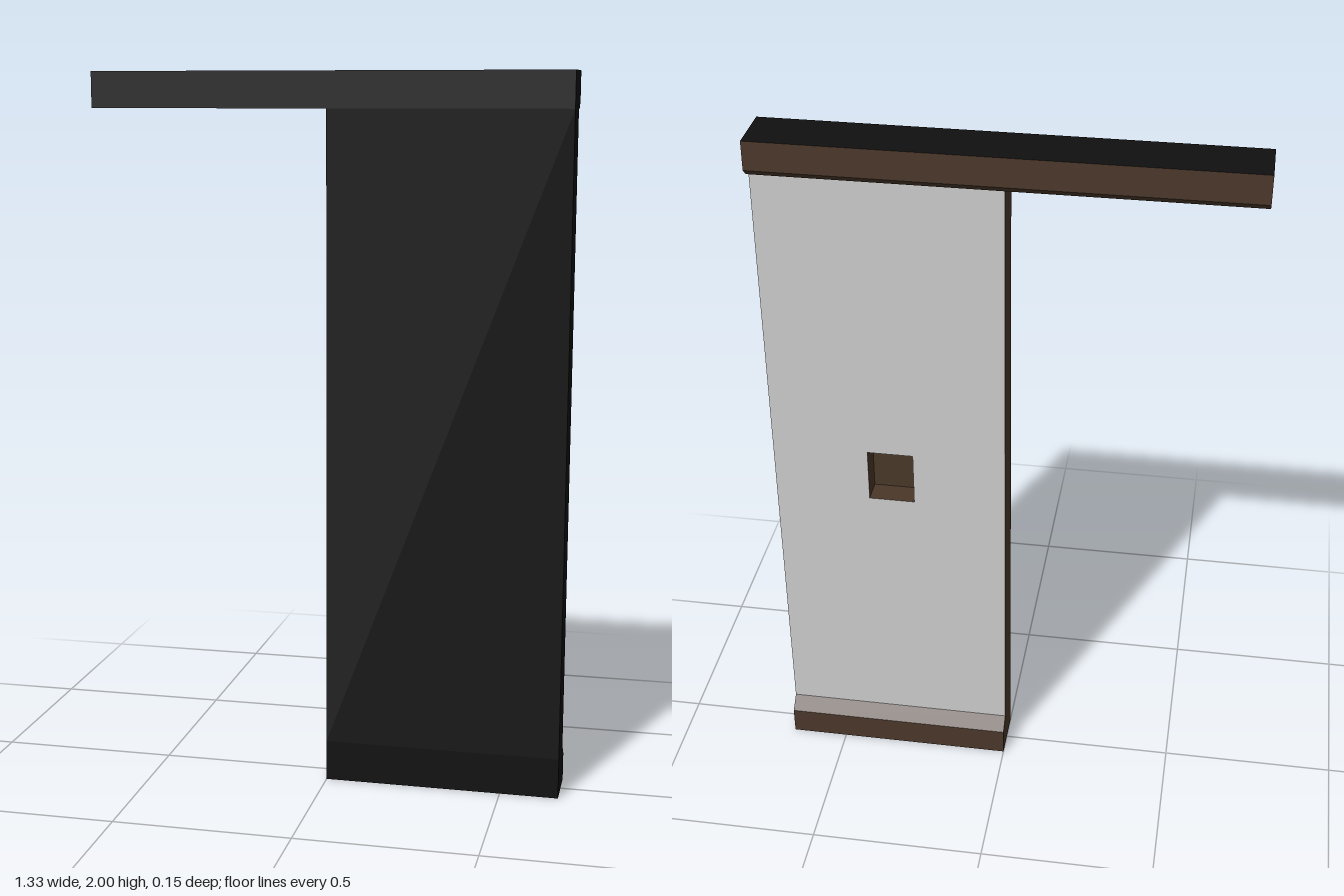
import * as THREE from 'three';

const COLORS = { black: 0x101010, brown: 0x4a3729, grey: 0xcccccc };
const MATERIALS = Object.fromEntries(Object.entries(COLORS).map(([key, color]) =>
  [key, new THREE.MeshStandardMaterial({ color, flatShading: true })]));

const HALF = 0.664, FRONT = 0.077, BACK = -0.032;
const RAIL_Y = 1.9, FOOT_Y = 0.115, RECESS = 0.07;

// Splits a solid into one mesh per finish; rule(normal, centre) names the finish, or null to drop a hidden face
function paint(name, geometry, rule) {
  const source = geometry.index ? geometry.toNonIndexed() : geometry;
  const pos = source.attributes.position;
  const buckets = {};
  const tri = new THREE.Triangle(), n = new THREE.Vector3(), c = new THREE.Vector3();
  for (let i = 0; i < pos.count; i += 3) {
    tri.setFromAttributeAndIndices(pos, i, i + 1, i + 2);
    tri.getNormal(n);
    tri.getMidpoint(c);
    const finish = rule(n, c);
    if (!finish) continue;
    (buckets[finish] ??= []).push(...tri.a.toArray(), ...tri.b.toArray(), ...tri.c.toArray());
  }
  const part = new THREE.Group();
  part.name = name;
  for (const [finish, points] of Object.entries(buckets)) {
    const g = new THREE.BufferGeometry();
    g.setAttribute('position', new THREE.Float32BufferAttribute(points, 3));
    g.computeVertexNormals();
    const mesh = new THREE.Mesh(g, MATERIALS[finish]);
    mesh.name = `${name} ${finish} faces`;
    part.add(mesh);
  }
  return part;
}

// Extrudes a [z, y] profile along x
function alongX(profile, x0, x1) {
  const shape = new THREE.Shape(profile.map(([z, y]) => new THREE.Vector2(-z, y)));
  return new THREE.ExtrudeGeometry(shape, { depth: x1 - x0, bevelEnabled: false })
    .rotateY(Math.PI / 2).translate(x0, 0, 0);
}

function rectangle(Type, x0, y0, x1, y1) {
  return new Type([[x0, y0], [x1, y0], [x1, y1], [x0, y1]].map(p => new THREE.Vector2(...p)));
}

export function createModel() {
  const model = new THREE.Group();
  model.name = 'sliding door with rail';

  // Top rail, twice the door's width, chamfered at its lower back edge
  const rail = alongX([[FRONT, RAIL_Y], [FRONT, 2], [-0.077, 2], [-0.077, 1.92], [-0.055, RAIL_Y]], -HALF, HALF);
  model.add(paint('top rail', rail, n =>
    n.z > 0.5 || n.y > 0.9 || Math.abs(n.x) > 0.5 ? 'black' : 'brown'));

  // Bottom rail with a sloped upper back edge
  const foot = alongX([[FRONT, 0], [FRONT, FOOT_Y], [BACK, FOOT_Y], [-0.069, 0.08], [-0.069, 0]], 0, HALF);
  model.add(paint('bottom rail', foot, n => {
    if (n.y > 0.95) return null;
    return n.z > 0.5 || n.x > 0.5 || n.y < -0.5 ? 'black' : 'brown';
  }));

  // Front slab of the door, whose back is the floor of the handle recess
  const thick = FRONT - BACK - RECESS, height = RAIL_Y - FOOT_Y;
  const slab = new THREE.BoxGeometry(HALF, height, thick)
    .translate(HALF / 2, FOOT_Y + height / 2, FRONT - thick / 2);
  model.add(paint('door front', slab, n => {
    if (Math.abs(n.y) > 0.5) return null;
    return n.z > 0.5 || n.x > 0.5 ? 'black' : 'brown';
  }));

  // Back layer of the door, cut through for the handle recess
  const outline = rectangle(THREE.Shape, 0, FOOT_Y, HALF, RAIL_Y);
  outline.holes.push(rectangle(THREE.Path, 0.262, 0.9, 0.392, 1.057));
  const layer = new THREE.ExtrudeGeometry(outline, { depth: RECESS, bevelEnabled: false }).translate(0, 0, BACK);
  model.add(paint('door back with handle recess', layer, (n, c) => {
    if (n.z > 0.5) return null;
    if (n.z < -0.5) return 'grey';
    if (c.y < FOOT_Y + 0.01 || c.y > RAIL_Y - 0.01) return null;
    return c.x > HALF - 0.01 ? 'black' : 'brown';
  }));

  return model;
}
